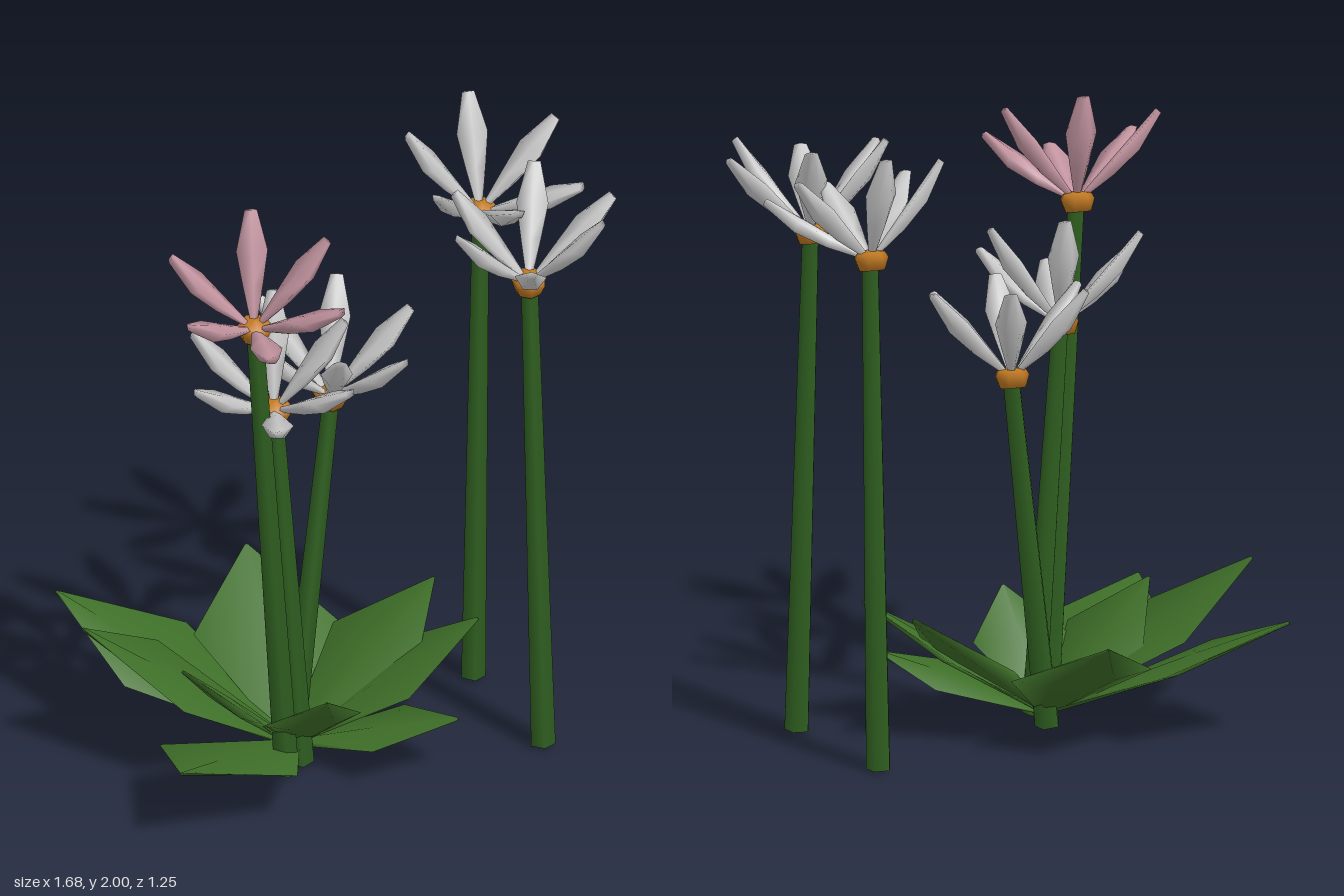
import * as THREE from 'three';

const mat = (color) => new THREE.MeshStandardMaterial({ color, side: THREE.DoubleSide });
const V = (a) => new THREE.Vector3(...a);
const UP = new THREE.Vector3(0, 1, 0);

// Five-sided blade along +z; each section is [z, halfWidth, topHeight, keelDepth]
function bladeGeometry(sections) {
  const pos = [], idx = [], n = 5;
  for (const [z, w, top, keel] of sections) {
    pos.push(w, 0, z, 0, top, z, -w, 0, z, -w * 0.45, -keel, z, w * 0.45, -keel, z);
  }
  for (let i = 0; i < sections.length - 1; i++) {
    for (let j = 0; j < n; j++) {
      const a = i * n + j, b = i * n + (j + 1) % n;
      idx.push(a, b, b + n, a, b + n, a + n);
    }
  }
  const e = (sections.length - 1) * n;
  for (let j = 2; j < n; j++) idx.push(1, 1 + j > 4 ? 0 : 1 + j, j, e + 1, e + j, e + (j + 1) % n);
  const g = new THREE.BufferGeometry();
  g.setAttribute('position', new THREE.Float32BufferAttribute(pos, 3));
  g.setIndex(idx);
  g.computeVertexNormals();
  return g;
}

// Point a mesh's +z along dir with its upper face turned towards up
function aim(mesh, dir, up) {
  const z = dir.clone().normalize();
  const x = new THREE.Vector3().crossVectors(up, z).normalize();
  const y = new THREE.Vector3().crossVectors(z, x);
  mesh.quaternion.setFromRotationMatrix(new THREE.Matrix4().makeBasis(x, y, z));
}

const PETAL = 0.38;
const FLOWERS = [
  { head: [-0.34, 1.6, 0.245], foot: [-0.22, 0, 0.155], pink: true,
    tips: [[0.01, -0.1], [0.22, 0.04], [0.22, 0.26], [-0.02, 0.37], [-0.25, 0.24], [-0.26, 0]] },
  { head: [-0.25, 1.245, 0.12], foot: [-0.16, 0, 0.1],
    tips: [[0.02, -0.11], [0.21, 0.05], [0.18, 0.28], [-0.06, 0.36], [-0.28, 0.18], [-0.25, -0.02]] },
  { head: [-0.02, 1.155, -0.115], foot: [-0.16, 0, -0.04],
    tips: [[0.06, -0.19], [0.25, 0.01], [0.18, 0.25], [-0.03, 0.28], [-0.25, 0.13], [-0.2, -0.12]] },
  { head: [0.5, 1.635, -0.325], foot: [0.485, 0, -0.365],
    tips: [[-0.01, -0.13], [0.25, -0.05], [0.28, 0.2], [0.05, 0.34], [-0.19, 0.26], [-0.23, 0.02]] },
  { head: [0.56, 1.605, 0.12], foot: [0.6, 0, 0.135],
    tips: [[0.06, -0.2], [0.27, -0.02], [0.19, 0.18], [-0.06, 0.32], [-0.25, 0.14], [-0.22, -0.06]] },
];

// Leaf tips and half widths
const LEAVES = [
  { tip: [-0.82, 0.39, -0.45], w: 0.24 },
  { tip: [-0.18, 0.4, -0.62], w: 0.23 },
  { tip: [-0.83, 0.48, -0.01], w: 0.25 },
  { tip: [-0.65, 0.27, 0.62], w: 0.24 },
  { tip: [0.33, 0.43, -0.22], w: 0.21 },
  { tip: [0.41, 0.42, 0.06], w: 0.2 },
  { tip: [0.3, 0.19, 0.28], w: 0.17 },
  { tip: [-0.55, 0.39, 0.17], w: 0.19 },
  { tip: [-0.14, 0.34, 0.38], w: 0.16 },
];

export function createModel() {
  const model = new THREE.Group();
  const leafMat = mat(0x3f7029), stemMat = mat(0x2f5f20), heartMat = mat(0xc27a22);
  const whiteMat = mat(0xcccccc), pinkMat = mat(0xc697a3);

  const petalGeo = bladeGeometry([
    [0.03, 0.012, 0.006, 0.01],
    [0.14, 0.032, 0.006, 0.032],
    [0.25, 0.05, 0.006, 0.04],
    [PETAL, 0.02, 0.006, 0.016],
  ]);
  const heartGeo = new THREE.LatheGeometry(
    [[0, -0.034], [0.042, -0.032], [0.056, 0.008], [0.045, 0.026], [0, 0.036]].map((p) => new THREE.Vector2(...p)), 7);

  // Flowers: stem, heart and six petals
  for (const { head, foot, tips, pink } of FLOWERS) {
    const flower = new THREE.Group();
    flower.name = pink ? 'pinkFlower' : 'whiteFlower';
    const top = V(head), bottom = V(foot), axis = top.clone().sub(bottom);

    const stem = new THREE.Mesh(new THREE.CylinderGeometry(0.028, 0.041, axis.length(), 5), stemMat);
    stem.name = 'stem';
    stem.position.copy(top).add(bottom).multiplyScalar(0.5);
    stem.quaternion.setFromUnitVectors(UP, axis.clone().normalize());
    flower.add(stem);

    const facing = new THREE.Vector3(0, 0.97, 0.24).normalize();
    const heart = new THREE.Mesh(heartGeo, heartMat);
    heart.name = 'flowerHeart';
    heart.position.copy(top);
    heart.quaternion.setFromUnitVectors(UP, facing);
    flower.add(heart);

    for (const [dx, dz] of tips) {
      const petal = new THREE.Mesh(petalGeo, pink ? pinkMat : whiteMat);
      petal.name = 'petal';
      petal.position.copy(top);
      const rise = Math.sqrt(Math.max(0.005, PETAL * PETAL - dx * dx - dz * dz));
      aim(petal, new THREE.Vector3(dx, rise, dz), facing);
      flower.add(petal);
    }
    model.add(flower);
  }

  // Rosette of broad kite-shaped leaves
  const root = new THREE.Vector3(-0.17, 0.03, 0.02);
  for (const { tip, w } of LEAVES) {
    const dir = V(tip).sub(root), len = dir.length();
    const leaf = new THREE.Mesh(bladeGeometry([
      [0, 0.025, 0.008, 0.012],
      [len * 0.58, w, 0.01, 0.025],
      [len, 0.006, 0.004, 0.006],
    ]), leafMat);
    leaf.name = 'leaf';
    leaf.position.copy(root);
    aim(leaf, dir, UP);
    model.add(leaf);
  }
  return model;
}
